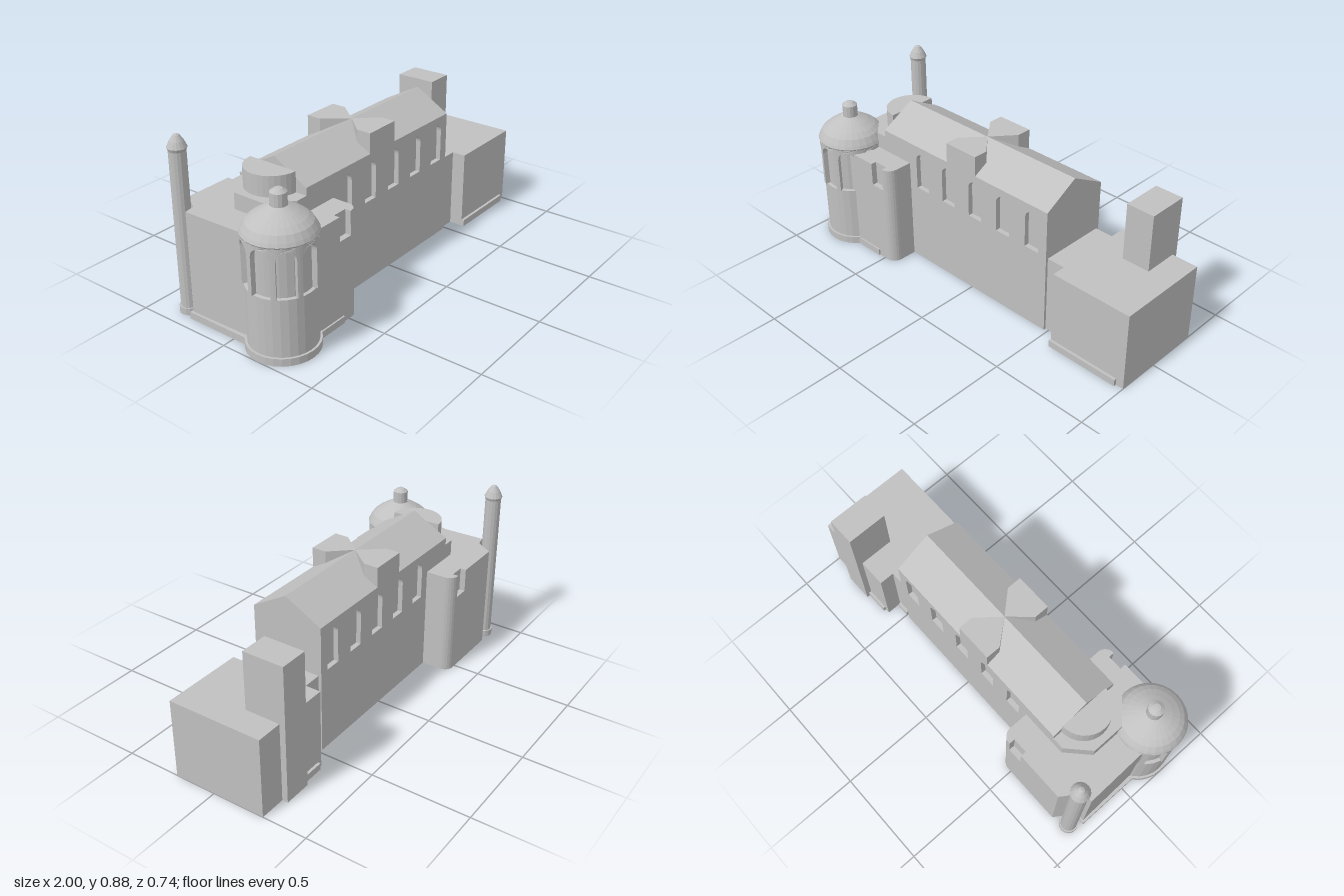
import * as THREE from 'three';

const stone = new THREE.MeshStandardMaterial({ color: 0xc0c0c0, flatShading: true });
stone.name = 'stone';

function add(parent, name, geometry) {
  const mesh = new THREE.Mesh(geometry, stone);
  mesh.name = name;
  parent.add(mesh);
  return mesh;
}

// box given by its limits on each axis
function block(x0, x1, y0, y1, z0, z1) {
  return new THREE.BoxGeometry(x1 - x0, y1 - y0, z1 - z0)
    .translate((x0 + x1) / 2, (y0 + y1) / 2, (z0 + z1) / 2);
}

// vertical prism over a ground plan of [x, z] points
function prism(plan, y0, y1) {
  const shape = new THREE.Shape(plan.map(([x, z]) => new THREE.Vector2(x, -z)));
  return new THREE.ExtrudeGeometry(shape, { depth: y1 - y0, bevelEnabled: false })
    .rotateX(-Math.PI / 2).translate(0, y0, 0);
}

function lathe(profile, x, z, sides) {
  return new THREE.LatheGeometry(profile.map(([r, y]) => new THREE.Vector2(r, y)), sides)
    .translate(x, 0, z);
}

function arcPoints(cx, cz, r, a0, a1, n) {
  return Array.from({ length: n + 1 }, (_, i) => {
    const a = a0 + (a1 - a0) * i / n;
    return [cx + r * Math.cos(a), cz + r * Math.sin(a)];
  });
}

const NAVE = { x0: -0.61, x1: 0.48, front: 0.16, back: -0.21, mid: -0.02, eave: 0.657, ridge: 0.76 };

function buildNave() {
  const nave = new THREE.Group();
  nave.name = 'nave';
  const { x0, x1, front, back, mid, eave, ridge } = NAVE;
  const depth = 0.025;
  add(nave, 'naveCore', block(x0, x1, 0, eave, back + depth, front - depth));

  // outer walls pierced by round-headed windows
  const wall = new THREE.Shape();
  wall.moveTo(x0, 0).lineTo(x1, 0).lineTo(x1, eave).lineTo(x0, eave).closePath();
  const w = 0.042;
  for (let i = 0; i < 5; i++) {
    const cx = -0.338 + i * 0.182;
    const hole = new THREE.Path();
    hole.moveTo(cx - w, 0.42).lineTo(cx + w, 0.42).lineTo(cx + w, 0.577);
    hole.absarc(cx, 0.577, w, 0, Math.PI, false);
    hole.closePath();
    wall.holes.push(hole);
  }
  for (const [name, z] of [['frontWall', front - depth], ['backWall', back]]) {
    add(nave, name, new THREE.ExtrudeGeometry(wall, { depth, bevelEnabled: false, curveSegments: 10 })
      .translate(0, 0, z));
  }

  // gabled roof
  const gable = new THREE.Shape([
    new THREE.Vector2(-front, eave), new THREE.Vector2(-back, eave), new THREE.Vector2(-mid, ridge)]);
  add(nave, 'roof', new THREE.ExtrudeGeometry(gable, { depth: x1 - x0, bevelEnabled: false })
    .rotateY(Math.PI / 2).translate(x0, 0, 0));

  // flat-topped dormers narrowing to the ridge
  for (const [name, edge, inner] of [['frontDormer', front, 0.085], ['backDormer', back, -0.135]]) {
    add(nave, name, prism([[-0.16, edge], [0.03, edge], [0.03, inner], [-0.065, mid], [-0.16, inner]],
      eave, ridge));
  }
  return nave;
}

// western transept, rounded at its eastern corners
function buildTransept() {
  const group = new THREE.Group();
  group.name = 'transept';
  const plan = (notched) => {
    const notch = (z, inner, flip) => {
      const pts = [[-0.56, z], [-0.56, inner], [-0.483, inner], [-0.483, z]];
      return notched ? (flip ? pts.reverse() : pts) : [];
    };
    return [
      [-0.925, -0.26], [-0.87, -0.27], [-0.81, -0.36],
      ...notch(-0.36, -0.33, false),
      ...arcPoints(-0.48, -0.31, 0.05, -Math.PI / 2, 0, 6),
      ...arcPoints(-0.48, 0.25, 0.05, 0, Math.PI / 2, 6),
      ...notch(0.30, 0.27, true),
      [-0.8, 0.30], [-0.915, 0.2]];
  };
  add(group, 'transeptLower', prism(plan(false), 0, 0.42));
  add(group, 'transeptUpper', prism(plan(true), 0.42, 0.54));
  add(group, 'westPlinth', block(-0.937, -0.9, 0, 0.035, -0.27, 0.1));
  add(group, 'frontPlinth', block(-0.72, -0.54, 0, 0.035, 0.28, 0.308));

  // stepped choir end
  add(group, 'choir', prism([[-0.61, -0.21], [-0.67, -0.21], [-0.775, -0.11],
    [-0.775, 0.06], [-0.67, 0.16], [-0.61, 0.16]], 0.5, 0.62));
  add(group, 'choirDrum', prism(arcPoints(-0.61, -0.03, 0.132, Math.PI / 2, Math.PI * 1.5, 16), 0.6, 0.72));
  return group;
}

function buildDomedTower() {
  const tower = new THREE.Group();
  tower.name = 'domedTower';
  const sides = 28;
  const base = new THREE.Group();
  add(base, 'shaft', lathe([[0, 0], [0.17, 0], [0.17, 0.037], [0.159, 0.037], [0.159, 0.318],
    [0.143, 0.32], [0.143, 0.57]], 0, 0, sides));
  add(base, 'dome', lathe([[0.14, 0.555], [0.164, 0.555], [0.171, 0.567], [0.164, 0.583], [0.147, 0.612],
    [0.122, 0.634], [0.085, 0.658], [0.04, 0.682]], 0, 0, sides));
  add(base, 'lantern', lathe([[0.038, 0.675], [0.038, 0.74], [0.018, 0.755], [0, 0.757]], 0, 0, 14));

  // arcade: one arched bay bent round the shaft and repeated
  const bays = 9, R = 0.167, depth = 0.025;
  const h = Math.PI / bays * R, w = 0.046, spring = 0.5, low = 0.318, top = 0.56;
  const outline = [[-h, low], [-w, low],
    ...arcPoints(0, spring, w, Math.PI, 0, 12), [w, low], [h, low]];
  for (let i = 0; i <= 8; i++) outline.push([h - 2 * h * i / 8, top]);
  const bay = new THREE.ExtrudeGeometry(
    new THREE.Shape(outline.map(([x, y]) => new THREE.Vector2(x, y))), { depth, bevelEnabled: false });
  const p = bay.attributes.position;
  for (let i = 0; i < p.count; i++) {
    const a = p.getX(i) / R, r = R - depth + p.getZ(i);
    p.setXYZ(i, Math.sin(a) * r, p.getY(i), Math.cos(a) * r);
  }
  bay.computeVertexNormals();
  for (let i = 0; i < bays; i++) {
    add(base, 'arcadeBay', bay).rotation.y = i * 2 * Math.PI / bays;
  }
  base.name = 'towerBody';
  base.position.set(-0.83, 0, 0.2);
  tower.add(base);
  return tower;
}

function buildEastWing() {
  const wing = new THREE.Group();
  wing.name = 'eastWing';
  add(wing, 'link', block(0.47, 0.6, 0, 0.407, -0.195, 0.147));
  add(wing, 'hall', block(0.575, 1, 0, 0.407, -0.273, 0.218));
  add(wing, 'squareTower', block(0.72, 0.865, 0, 0.7, -0.303, -0.092));
  add(wing, 'frontPlinth', block(0.575, 0.96, 0, 0.035, 0.2, 0.232));
  add(wing, 'linkPlinth', block(0.5, 0.565, 0, 0.035, -0.21, -0.18));
  add(wing, 'hallPlinth', block(0.6, 0.72, 0, 0.035, -0.287, -0.25));
  return wing;
}

export function createModel() {
  const model = new THREE.Group();
  model.name = 'church';
  model.add(buildNave(), buildTransept(), buildDomedTower(), buildEastWing());

  // slender stair turret with a pointed cap
  add(model, 'stairTurret', lathe([[0, 0], [0.047, 0], [0.047, 0.035], [0.04, 0.035], [0.04, 0.803],
    [0.046, 0.818], [0.032, 0.848], [0.014, 0.874], [0, 0.88]], -0.887, -0.323, 16));
  return model;
}
